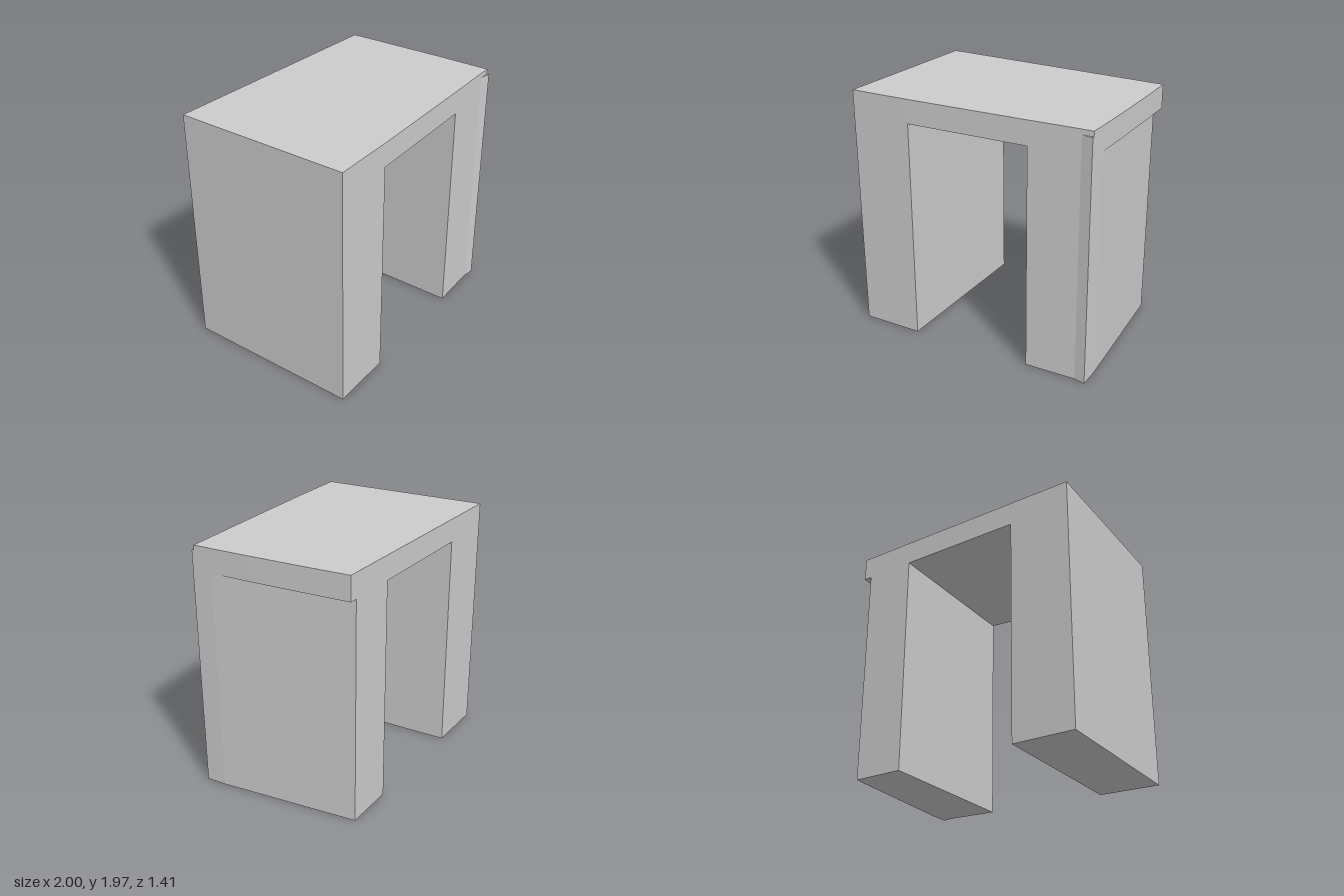
import * as THREE from 'three';

const material = new THREE.MeshStandardMaterial({ color: 0xcccccc });

// Vertical prism from a plan outline of [x, z] points
function prism(name, plan, y0, y1) {
  const shape = new THREE.Shape(plan.map(([x, z]) => new THREE.Vector2(x, -z)));
  const geometry = new THREE.ExtrudeGeometry(shape, { depth: y1 - y0, bevelEnabled: false });
  geometry.rotateX(-Math.PI / 2).translate(0, y0, 0);
  const mesh = new THREE.Mesh(geometry, material);
  mesh.name = name;
  return mesh;
}

// The back edge is a slanted line
const backZ = (x) => -0.71 + 0.0505 * (x + 1);
const back = (x) => [x, backZ(x)];

export function createModel() {
  const group = new THREE.Group();
  group.name = 'archBlock';

  const legTop = 1.78, flareTop = 1.93, top = 1.97;

  // Slightly bowed front edge, and the side edge of the slab
  const front = [[-1, 0.705], [-0.5, 0.703], [0, 0.692], [0.5, 0.68], [0.91, 0.667]];
  const flare = [1, 0.685];
  const side = [[1, 0.2], [0.99, -0.3], back(0.98)];

  // Legs: the one at +x tapers inward towards the back
  group.add(prism('rightLeg', [front[0], front[1], back(-0.5), back(-1)], 0, legTop));
  group.add(prism('leftLeg',
    [front[3], front[4], flare, [1, 0.52], back(0.913), back(0.5)], 0, legTop));

  // Slab: its lower part carries the flared front corner, the thin cap does not
  group.add(prism('lintel', [...front, flare, ...side, back(-1)], legTop, flareTop));
  group.add(prism('topCap', [...front, [1, 0.667], ...side, back(-1)], flareTop, top));

  return group;
}
